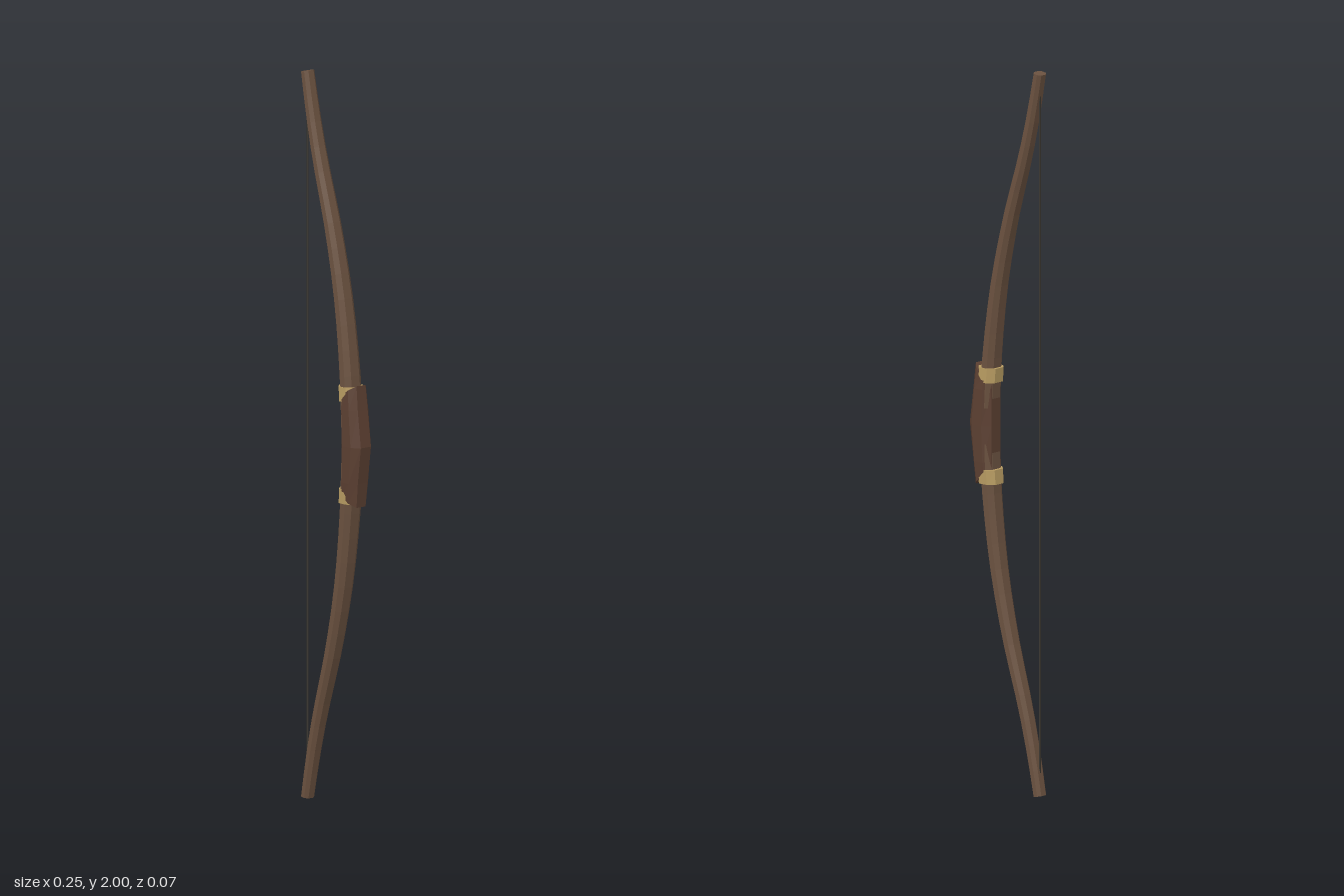
import * as THREE from 'three';

const material = (color) => new THREE.MeshStandardMaterial({ color, flatShading: true, side: THREE.DoubleSide });
const WOOD = material(0x6b5240);
const LEATHER = material(0x5c4032);
const GOLD = material(0xb89c62);
const STRING = material(0x39352f);

// Eight-sided cross-section with chamfered corners (thickness, width)
const OCTAGON = [[1, 0.5], [0.45, 1], [-0.45, 1], [-1, 0.5], [-1, -0.5], [-0.45, -1], [0.45, -1], [1, -0.5]];

// Loft through stations {x, y, tx, ty, t, w}: centre, thickness direction, half thickness, half width
function loft(stations) {
  const n = OCTAGON.length;
  const pos = [];
  const index = [];
  for (const s of stations) {
    for (const [a, b] of OCTAGON) pos.push(s.x + s.tx * a * s.t, s.y + s.ty * a * s.t, b * s.w);
  }
  for (let i = 0; i < stations.length - 1; i++) {
    for (let j = 0; j < n; j++) {
      const a = i * n + j;
      const b = i * n + (j + 1) % n;
      index.push(a, a + n, b, b, a + n, b + n);
    }
  }
  // end caps
  const last = (stations.length - 1) * n;
  for (let j = 1; j < n - 1; j++) {
    index.push(0, j, j + 1);
    index.push(last, last + j + 1, last + j);
  }
  const geometry = new THREE.BufferGeometry();
  geometry.setAttribute('position', new THREE.Float32BufferAttribute(pos, 3));
  geometry.setIndex(index);
  geometry.computeVertexNormals();
  return geometry;
}

function addMesh(parent, name, geometry, mat) {
  const mesh = new THREE.Mesh(geometry, mat);
  mesh.name = name;
  parent.add(mesh);
  return mesh;
}

// Tapering limb that recurves towards its tip; side is +1 for upper, -1 for lower
function limbGeometry(side) {
  const points = [[0.07, 0.05], [0.063, 0.17], [0.036, 0.385], [-0.006, 0.575], [-0.062, 0.765], [-0.09, 0.88], [-0.113, 0.996]];
  const curve = new THREE.CatmullRomCurve3(points.map(([x, y]) => new THREE.Vector3(x, 1 + side * y, 0)));
  const steps = 14;
  const stations = [];
  for (let i = 0; i <= steps; i++) {
    const u = i / steps;
    const p = curve.getPointAt(u);
    const d = curve.getTangentAt(u);
    stations.push({ x: p.x, y: p.y, tx: d.y * side, ty: -d.x * side, t: 0.022 - 0.008 * u, w: 0.031 - 0.013 * u });
  }
  return loft(side > 0 ? stations : stations.reverse());
}

// Upright loft from rows of [y, inner x, outer x, half width]
function uprightGeometry(rows) {
  return loft(rows.map(([y, x0, x1, w]) => ({ x: (x0 + x1) / 2, y, tx: 1, ty: 0, t: (x1 - x0) / 2, w })));
}

export function createModel() {
  const bow = new THREE.Group();
  bow.name = 'bow';

  for (const side of [1, -1]) {
    const label = side > 0 ? 'upper' : 'lower';
    addMesh(bow, label + 'Limb', limbGeometry(side), WOOD);

    // Metal collar where the limb enters the grip
    const collar = [[1 + side * 0.12, 0.037, 0.1, 0.033], [1 + side * 0.16, 0.034, 0.096, 0.032]];
    if (side < 0) collar.reverse();
    addMesh(bow, label + 'Collar', uprightGeometry(collar), GOLD);
  }

  // Wrapped grip, swelling to its outer middle, with slanted ends
  const grip = uprightGeometry([
    [0.85, 0.046, 0.106, 0.032],
    [0.9, 0.047, 0.113, 0.035],
    [1.0, 0.047, 0.126, 0.036],
    [1.1, 0.047, 0.113, 0.035],
    [1.15, 0.046, 0.106, 0.032],
  ]);
  const p = grip.attributes.position;
  for (let i = 0; i < p.count; i++) {
    const y = p.getY(i) - 1;
    if (Math.abs(y) > 0.14) p.setY(i, 1 + Math.sign(y) * (0.125 + (p.getX(i) - 0.046) * 0.7));
  }
  grip.computeVertexNormals();
  addMesh(bow, 'grip', grip, LEATHER);

  // Bowstring between the tips
  const string = addMesh(bow, 'bowstring', new THREE.CylinderGeometry(0.003, 0.003, 1.95, 6), STRING);
  string.position.set(-0.113, 1, 0);

  return bow;
}
